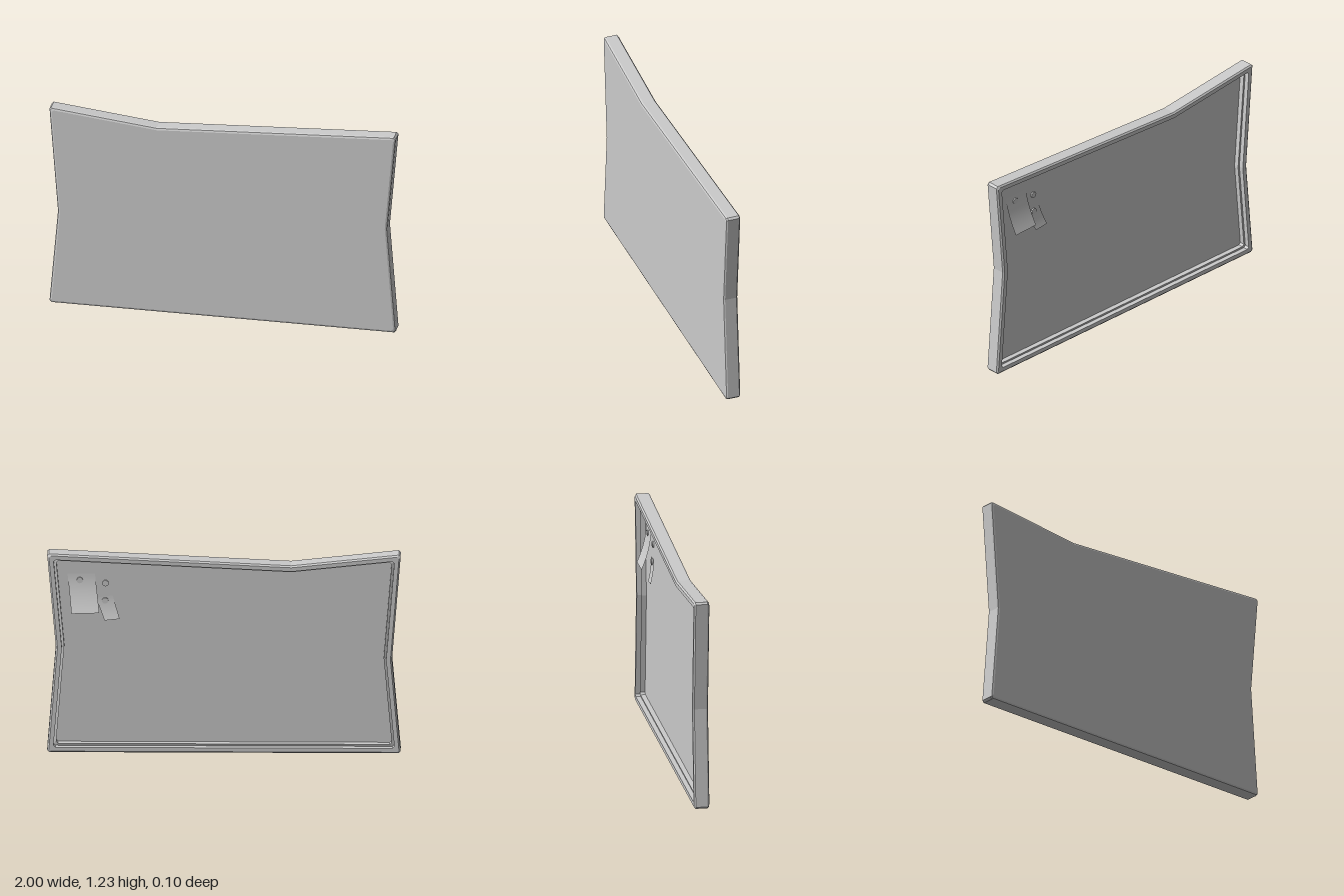
import * as THREE from 'three';

const material = new THREE.MeshStandardMaterial({ color: 0xcccccc, flatShading: true, side: THREE.DoubleSide });
const paperMaterial = new THREE.MeshStandardMaterial({ color: 0xcccccc, side: THREE.DoubleSide });

// Sagging outline, counter-clockwise seen from the front
const outline = [[-1, 0], [1, 0], [0.95, 0.65], [1, 1.23], [-0.38, 1.16], [-1, 1.23], [-0.95, 0.58]]
  .map(([x, y]) => new THREE.Vector2(x, y));
const corners = [0, 1, 3, 5];

// Outline moved inwards, with its four outer corners cut off
function insetOutline(inset, cut = 0.012) {
  const n = outline.length;
  const moved = outline.map((p, i) => {
    const a = p.clone().sub(outline[(i + n - 1) % n]).normalize();
    const b = outline[(i + 1) % n].clone().sub(p).normalize();
    const na = new THREE.Vector2(-a.y, a.x), nb = new THREE.Vector2(-b.y, b.x);
    return na.clone().add(nb).multiplyScalar(inset / (1 + na.dot(nb))).add(p);
  });
  const ring = [];
  moved.forEach((p, i) => {
    if (!corners.includes(i)) return ring.push(p);
    for (const q of [moved[(i + n - 1) % n], moved[(i + 1) % n]]) {
      ring.push(p.clone().add(q.clone().sub(p).setLength(cut)));
    }
  });
  return ring;
}

// Skin over a list of [inset, z] steps running from front to back
function moulding(steps) {
  const rings = steps.map(([inset, z]) => insetOutline(inset).map(p => [p.x, p.y, z]));
  const n = rings[0].length, index = [];
  for (let r = 0; r + 1 < rings.length; r++) {
    for (let i = 0; i < n; i++) {
      const a = r * n + i, b = r * n + (i + 1) % n;
      index.push(a, a + n, b, b, a + n, b + n);
    }
  }
  const geometry = new THREE.BufferGeometry();
  geometry.setAttribute('position', new THREE.Float32BufferAttribute(rings.flat(2), 3));
  geometry.setIndex(index);
  const flat = geometry.toNonIndexed();
  flat.computeVertexNormals();
  return flat;
}

// Curled sheet from its corners: top left, top right, bottom left, bottom right
function sheet([tl, tr, bl, br], zTop, zBottom) {
  const geometry = new THREE.PlaneGeometry(1, 1, 1, 10);
  const position = geometry.attributes.position;
  for (let i = 0; i < position.count; i++) {
    const u = position.getX(i) + 0.5, t = 0.5 - position.getY(i);
    const mix = k => THREE.MathUtils.lerp(
      THREE.MathUtils.lerp(tl[k], tr[k], u), THREE.MathUtils.lerp(bl[k], br[k], u), t);
    position.setXYZ(i, mix(0), mix(1), zTop + (zBottom - zTop) * t ** 1.8);
  }
  geometry.computeVertexNormals();
  return geometry;
}

export function createModel() {
  const group = new THREE.Group();
  const add = (name, geometry, mat = material) => {
    const mesh = new THREE.Mesh(geometry, mat);
    mesh.name = name;
    group.add(mesh);
    return mesh;
  };

  // Frame with bevelled edges and a stepped inner rim at the back
  const frontZ = 0.05, recessZ = 0.015;
  add('frame', moulding([
    [0.014, frontZ], [0.004, 0.046], [0, 0.038], [0, -0.03], [0.009, -0.038],
    [0.033, -0.038], [0.033, -0.01], [0.047, -0.014], [0.047, recessZ],
  ]));

  // Front sheet and recessed back of the panel
  add('frontPanel', new THREE.ShapeGeometry(new THREE.Shape(insetOutline(0.014)))).position.z = frontZ;
  add('backPanel', new THREE.ShapeGeometry(new THREE.Shape(insetOutline(0.047)))).position.z = recessZ;

  // Two curled notes on the back
  add('largeNote', sheet([[0.73, 1.09], [0.885, 1.09], [0.705, 0.87], [0.862, 0.865]], 0.011, -0.047), paperMaterial);
  add('smallNote', sheet([[0.63, 0.955], [0.725, 0.94], [0.59, 0.82], [0.675, 0.81]], 0.01, -0.015), paperMaterial);

  // Round pins
  for (const [x, y, z] of [[0.815, 1.05, 0.007], [0.67, 1.03, 0.011], [0.672, 0.925, 0.006]]) {
    const pin = add('pin', new THREE.CylinderGeometry(0.018, 0.018, 0.008, 16), paperMaterial);
    pin.rotation.x = Math.PI / 2;
    pin.position.set(x, y, z);
  }
  return group;
}
